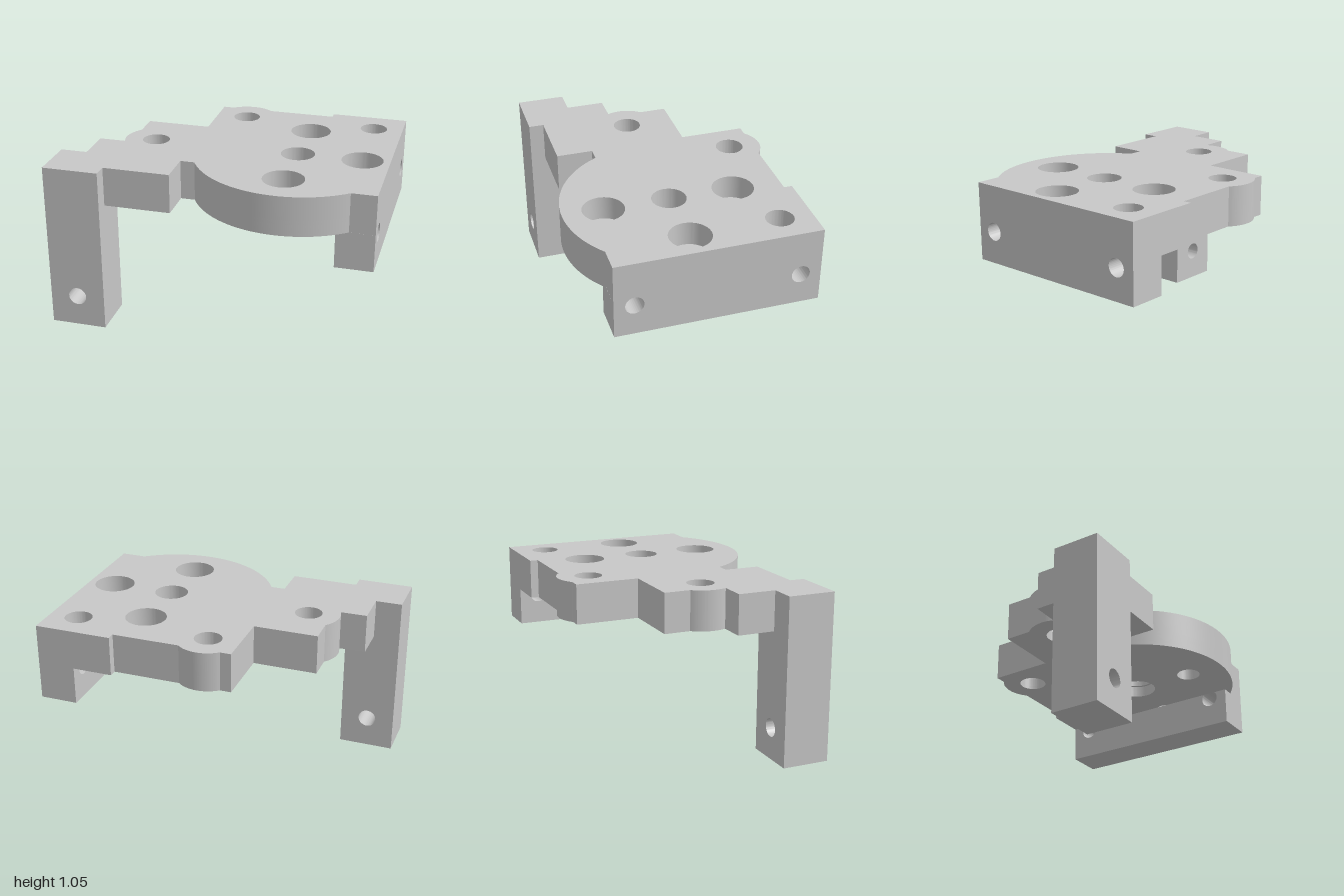
import * as THREE from 'three';
import { toCreasedNormals } from 'three/addons/utils/BufferGeometryUtils.js';

const TOP = 1.055, BASE = 0.807;         // plate top and underside
const WALL_X = 0.765, WALL_Y = 0.569;    // inner face and bottom of the side wall
const BORE_Y = 0.769, BORE_R = 0.056;    // cross bores through the side wall
const SLOT_Y = BORE_Y + BORE_R + 0.004;
const HALF = Math.sqrt(BORE_R ** 2 - (BASE - BORE_Y) ** 2); // bore half width at the plate underside
const BORES = [-0.572, 0.425];
const CORNER = [0.815, -0.498, 0.085];   // corner hole: x, z, radius

export function createModel() {
  const group = new THREE.Group();
  const grey = new THREE.MeshStandardMaterial({ color: 0xc7c7c7 });
  grey.name = 'lightGrey';

  function add(name, geometry) {
    const mesh = new THREE.Mesh(geometry, grey);
    mesh.name = name;
    group.add(mesh);
  }
  const extrude = (shape, depth) => toCreasedNormals(
    new THREE.ExtrudeGeometry(shape, { depth, bevelEnabled: false, curveSegments: 40 }), 0.5);
  // shape drawn in x, z and extruded between two heights
  const slab = (shape, y0, y1) => extrude(shape, y1 - y0).rotateX(Math.PI / 2).translate(0, y1, 0);
  // shape drawn in z, y and extruded across the side wall
  const across = (shape) => extrude(shape, 1 - WALL_X).rotateY(-Math.PI / 2).translate(1, 0, 0);

  const lines = (shape, points) => points.forEach(([a, b]) => shape.lineTo(a, b));
  function arc(shape, cx, cy, r, from, to, clockwise = false) {
    shape.absarc(cx, cy, r, Math.atan2(from[1] - cy, from[0] - cx),
      Math.atan2(to[1] - cy, to[0] - cx), clockwise);
  }
  function hole(shape, x, y, r) {
    const path = new THREE.Path();
    path.absarc(x, y, r, 0, Math.PI * 2, true);
    shape.holes.push(path);
  }
  function rect(x0, y0, x1, y1) {
    return new THREE.Shape([[x0, y0], [x1, y0], [x1, y1], [x0, y1]].map((p) => new THREE.Vector2(...p)));
  }

  // Plate outline with rounded lugs; the lowest layer is slotted by the cross bores
  function outline(slotted) {
    const s = new THREE.Shape();
    s.moveTo(-1, 0.365);
    lines(s, [[-0.835, 0.365], [-0.835, 0.128]]);
    arc(s, -0.487, 0.049, 0.198, [-0.673, 0.128], [-0.633, -0.086]);
    lines(s, [[-0.633, -0.25], [-0.233, -0.25], [-0.233, -0.647]]);
    arc(s, -0.035, -0.498, 0.197, [-0.165, -0.647], [0.095, -0.647]);
    lines(s, [[0.515, -0.647], [0.515, -0.697], [1, -0.697]]);
    if (slotted) {
      const [b0, b1] = BORES, [cx, cz, r] = CORNER;
      const zIn = cz - Math.sqrt(r * r - (WALL_X - cx) ** 2);
      const xOut = cx + Math.sqrt(r * r - (b0 + HALF - cz) ** 2);
      lines(s, [[1, b0 - HALF], [WALL_X, b0 - HALF]]);
      arc(s, cx, cz, r, [WALL_X, zIn], [xOut, b0 + HALF], true);
      lines(s, [[1, b0 + HALF], [1, b1 - HALF], [WALL_X, b1 - HALF], [WALL_X, b1 + HALF], [1, b1 + HALF]]);
    }
    lines(s, [[1, 0.548]]);
    arc(s, 0.43, 0.049, 0.648, [0.845, 0.548], [-0.145, 0.349]);
    lines(s, [[-0.233, 0.349], [-0.233, 0.573], [-0.65, 0.573], [-0.65, 0.665], [-1, 0.665]]);
    return s;
  }

  // Plate layers: heights, stepped hole radius, centre hole radius
  const layers = [
    ['plateTop', 0.905, TOP, 0.127, 0.105],
    ['plateMiddle', 0.88, 0.905, 0.075, 0.105],
    ['plateLower', SLOT_Y, 0.88, 0.075, 0.121],
    ['plateUnderside', BASE, SLOT_Y, 0.075, 0.121],
  ];
  for (const [name, y0, y1, stepped, centre] of layers) {
    const slotted = y0 === BASE;
    const s = outline(slotted);
    hole(s, -0.487, 0.049, 0.085);
    hole(s, -0.035, -0.498, 0.085);
    hole(s, 0.43, 0.049, centre);
    for (const [x, z] of [[0.43, -0.351], [0.43, 0.449], [0.83, 0.049]]) hole(s, x, z, stepped);
    if (!slotted) hole(s, ...CORNER);
    add(name, slab(s, y0, y1));
  }

  // Side wall ends with cross bores, and the rounded bore tops inside the slots
  [[-0.697, -0.05], [0.14, 0.548]].forEach(([z0, z1], i) => {
    const c = BORES[i], left = [c - HALF, BASE], right = [c + HALF, BASE];
    const s = new THREE.Shape();
    s.moveTo(z0, WALL_Y);
    lines(s, [[z1, WALL_Y], [z1, BASE]]);
    arc(s, c, BORE_Y, BORE_R, right, left, true);
    lines(s, [[z0, BASE]]);
    add(i ? 'sideWallFront' : 'sideWallBack', across(s));

    const crown = new THREE.Shape();
    crown.moveTo(...left);
    arc(crown, c, BORE_Y, BORE_R, left, right, true);
    lines(crown, [[c + HALF, SLOT_Y], [c - HALF, SLOT_Y]]);
    add(i ? 'boreCrownFront' : 'boreCrownBack', across(crown));
  });

  // Middle of the side wall with a blind pilot hole
  const middle = rect(WALL_X, -0.05, 1, 0.14);
  hole(middle, 0.83, 0.049, 0.05);
  add('sideWallMiddle', slab(middle, 0.66, BASE));
  add('sideWallMiddleBase', slab(rect(WALL_X, -0.05, 1, 0.14), WALL_Y, 0.66));

  // Leg with a cross hole near the foot
  const leg = rect(-1, 0, -0.65, BASE);
  hole(leg, -0.825, 0.2, 0.057);
  add('leg', extrude(leg, 0.3).translate(0, 0, 0.365));

  return group;
}
